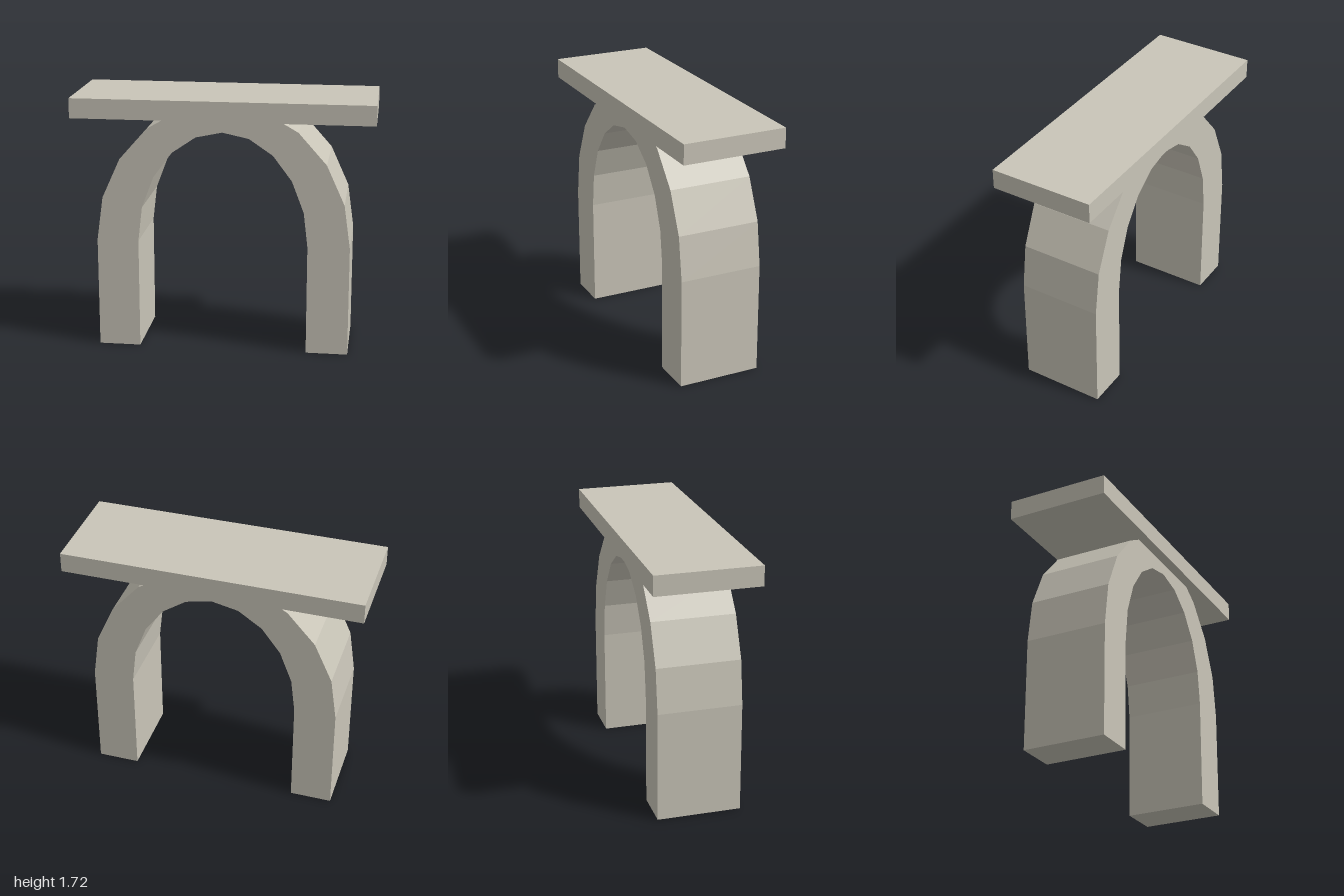
import * as THREE from 'three';

const SPRING_Y = 0.745; // height where the straight legs meet the curve
const STEPS = 10;

// Points of a half ellipse, from the +x side over the top to the -x side
function archCurve(rx, ry) {
  return Array.from({ length: STEPS + 1 }, (_, i) => {
    const a = (i / STEPS) * Math.PI;
    return new THREE.Vector2(Math.cos(a) * rx, SPRING_Y + Math.sin(a) * ry);
  });
}

export function createModel() {
  const group = new THREE.Group();
  const stone = new THREE.MeshStandardMaterial({ color: 0xc9c5b8 });
  stone.name = 'paleStone';

  // Faceted arch with straight legs
  const rOut = 0.848, rIn = 0.568, depth = 0.56;
  const outline = [
    new THREE.Vector2(rOut, 0),
    ...archCurve(rOut, 0.955),
    new THREE.Vector2(-rOut, 0),
    new THREE.Vector2(-rIn, 0),
    ...archCurve(rIn, 0.76).reverse(),
    new THREE.Vector2(rIn, 0),
  ];
  const archGeometry = new THREE.ExtrudeGeometry(new THREE.Shape(outline), { depth, bevelEnabled: false });
  archGeometry.translate(0, 0, -depth / 2);
  const arch = new THREE.Mesh(archGeometry, stone);
  arch.name = 'arch';
  group.add(arch);

  // Flat slab resting over the crown of the arch
  const slab = new THREE.Mesh(new THREE.BoxGeometry(2, 0.133, 0.695), stone);
  slab.name = 'topSlab';
  slab.position.y = 1.654;
  group.add(slab);

  return group;
}
